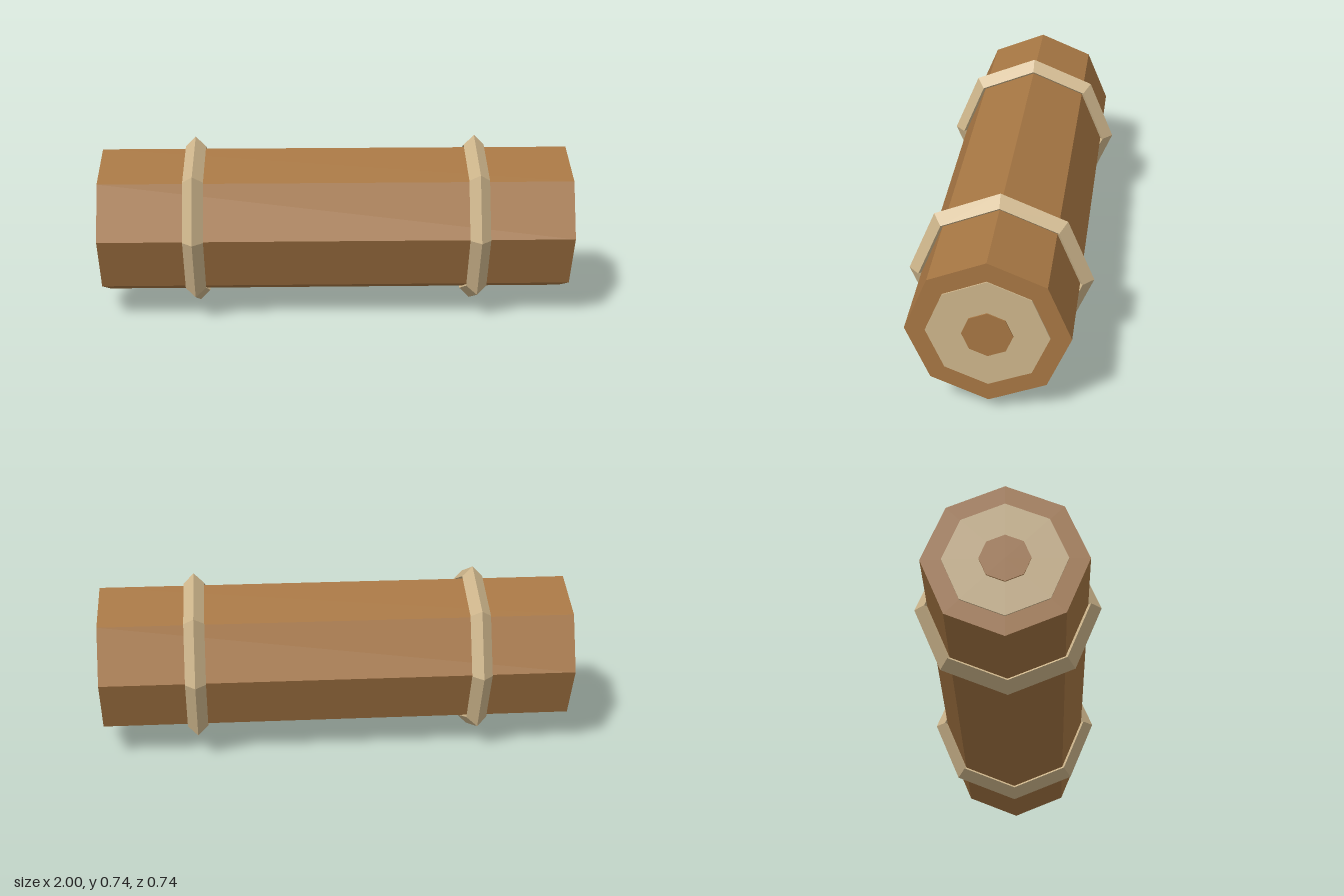
import * as THREE from 'three';

const SIDES = 8;
const CENTRE_Y = 0.37;

export function createModel() {
  const model = new THREE.Group();
  model.name = 'boundLog';

  const bark = new THREE.MeshStandardMaterial({ color: 0xa67643, flatShading: true });
  bark.name = 'brown wood';
  const pale = new THREE.MeshStandardMaterial({ color: 0xcdb58b, flatShading: true });
  pale.name = 'pale wood';

  const add = (name, geometry, material, x) => {
    const mesh = new THREE.Mesh(geometry, material);
    mesh.name = name;
    mesh.position.set(x, CENTRE_Y, 0);
    model.add(mesh);
  };

  // Octagonal prism lying along x, with a corner at the top
  const prism = (radius, length) =>
    new THREE.CylinderGeometry(radius, radius, length, SIDES).rotateZ(Math.PI / 2);

  // Main log
  add('log', prism(0.316, 1.98), bark, 0);

  for (const [side, s] of [['left', 1], ['right', -1]]) {
    // Binding band with a diamond cross-section
    add(`${side}Band`, new THREE.TorusGeometry(0.327, 0.043, 4, SIDES).rotateY(Math.PI / 2), pale, s * 0.594);
    // Growth rings on the cut end
    add(`${side}EndRing`, prism(0.236, 0.008), pale, s * 0.991);
    add(`${side}EndCore`, prism(0.098, 0.008), bark, s * 0.996);
  }

  return model;
}
